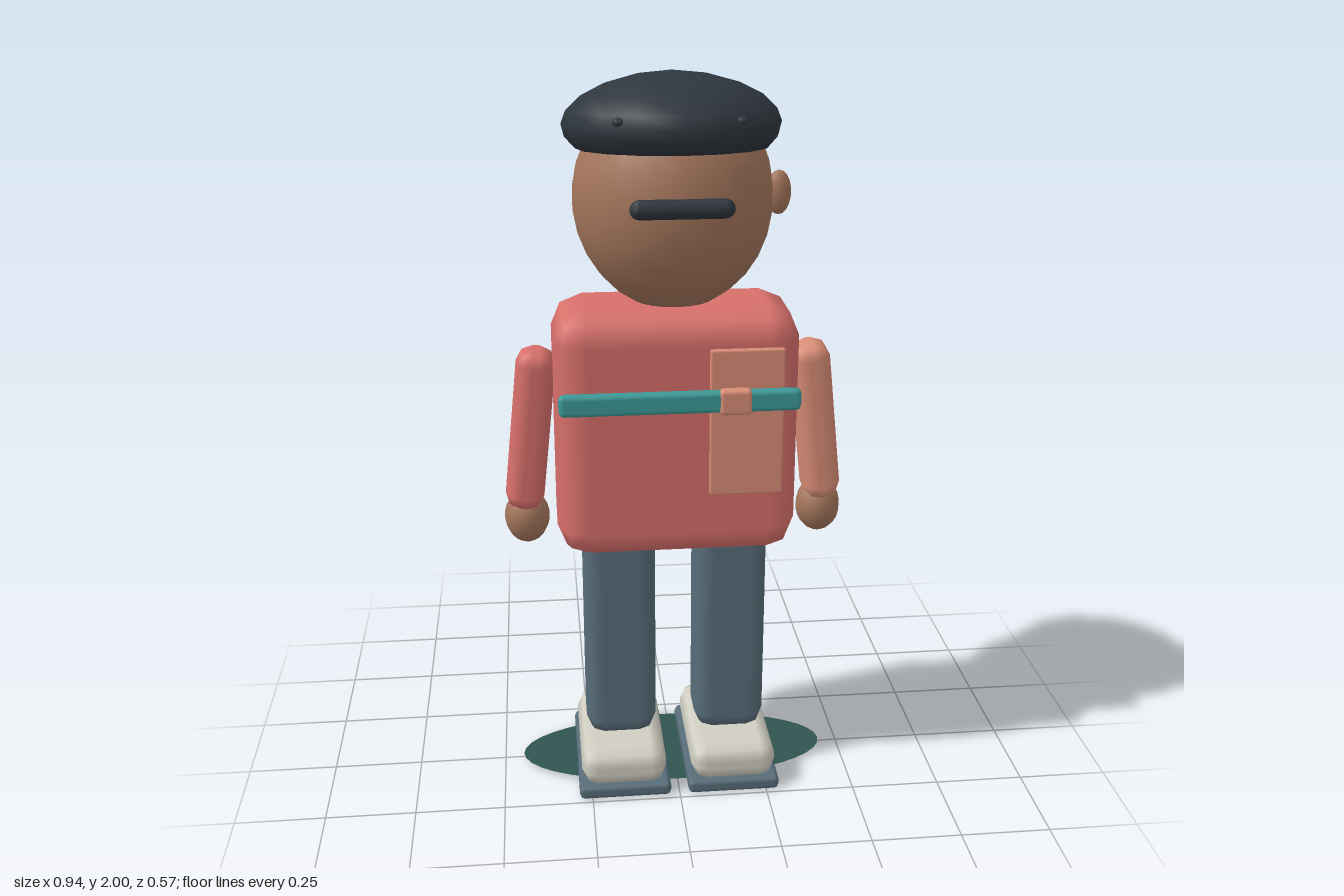
import * as THREE from 'three';
import { RoundedBoxGeometry } from 'three/addons/geometries/RoundedBoxGeometry.js';

const paint = (name, color) => {
  const m = new THREE.MeshStandardMaterial({ color });
  m.name = name;
  return m;
};

export function createModel() {
  const red = paint('coral red', 0xd8706b);
  const salmon = paint('salmon', 0xd98d76);
  const skin = paint('brown skin', 0xa5765c);
  const navy = paint('dark navy', 0x2f363e);
  const slate = paint('slate blue', 0x586d7a);
  const cream = paint('shoe cream', 0xd0cec1);
  const teal = paint('strap teal', 0x3a9a98);
  const green = paint('base green', 0x305552);
  green.side = THREE.DoubleSide;

  const model = new THREE.Group();
  model.name = 'figure';

  const add = (name, geometry, material, x, y, z) => {
    const mesh = new THREE.Mesh(geometry, material);
    mesh.name = name;
    mesh.position.set(x, y, z);
    model.add(mesh);
    return mesh;
  };
  // Bevelled box given by its limits on each axis
  const block = (name, material, [x0, x1], [y0, y1], [z0, z1], r) =>
    add(name, new RoundedBoxGeometry(x1 - x0, y1 - y0, z1 - z0, 1, r), material,
      (x0 + x1) / 2, (y0 + y1) / 2, (z0 + z1) / 2);
  const ball = (name, material, x, y, z, rx, ry, rz, n = 16) =>
    add(name, new THREE.SphereGeometry(1, n, Math.ceil(n * 0.75)).scale(rx, ry, rz), material, x, y, z);

  // Head with one ear and a dark face bar
  ball('head', skin, 0, 1.685, 0.02, 0.262, 0.295, 0.245, 20);
  ball('ear', skin, 0.272, 1.695, 0.045, 0.033, 0.058, 0.022, 12);
  const bar = add('faceBar', new THREE.CapsuleGeometry(0.025, 0.21, 4, 10), navy, 0, 1.7, 0.26);
  bar.rotation.z = Math.PI / 2;

  // Beret, tipped slightly towards the back
  const profile = [[0, 0], [0.25, 0], [0.277, 0.03], [0.285, 0.062], [0.272, 0.095],
    [0.235, 0.13], [0.175, 0.16], [0.09, 0.183], [0, 0.192]]
    .map(([r, y]) => new THREE.Vector2(r, y));
  const beret = add('beret', new THREE.LatheGeometry(profile, 16), navy, 0, 1.808, -0.003);
  beret.rotation.x = -0.07;
  beret.scale.z = 0.965;

  // Torso
  block('torso', red, [-0.325, 0.325], [0.725, 1.415], [-0.135, 0.2], 0.085);

  // Chest strap, pocket panel and buckle
  block('pocketPanel', salmon, [0.078, 0.273], [0.922, 1.325], [0.198, 0.217], 0.006);
  block('chestStrap', teal, [-0.315, 0.315], [1.16, 1.22], [0.205, 0.24], 0.014);
  block('buckle', salmon, [0.1, 0.185], [1.155, 1.225], [0.21, 0.247], 0.012);

  for (const s of [-1, 1]) {
    const side = s > 0 ? 'left' : 'right';
    const span = (a, b) => (s > 0 ? [a, b] : [-b, -a]);

    // Beret studs
    ball(side + 'Stud', navy, s * 0.15, 1.902, 0.206, 0.016, 0.012, 0.016, 8);

    // Arm and hand
    const arm = add(side + 'Arm', new RoundedBoxGeometry(0.105, 0.46, 0.13, 1, 0.045),
      s > 0 ? salmon : red, s * 0.39, 1.065, 0.04);
    arm.rotation.z = s * 0.11;
    ball(side + 'Hand', skin, s * 0.407, 0.81, 0.04, 0.062, 0.077, 0.06, 14);

    // Leg, shoe and sole
    block(side + 'Leg', slate, span(0.056, 0.257), [0.13, 0.77], [-0.06, 0.125], 0.05);
    block(side + 'Shoe', cream, span(0.036, 0.278), [0.03, 0.14], [-0.17, 0.235], 0.045);
    block(side + 'Sole', slate, span(0.025, 0.287), [0, 0.04], [-0.187, 0.24], 0.014);
  }

  // Thin oval base
  const base = add('ovalBase', new THREE.CircleGeometry(1, 40).scale(0.445, 0.175, 1), green, 0, 0.012, 0);
  base.rotation.x = -Math.PI / 2;

  return model;
}
